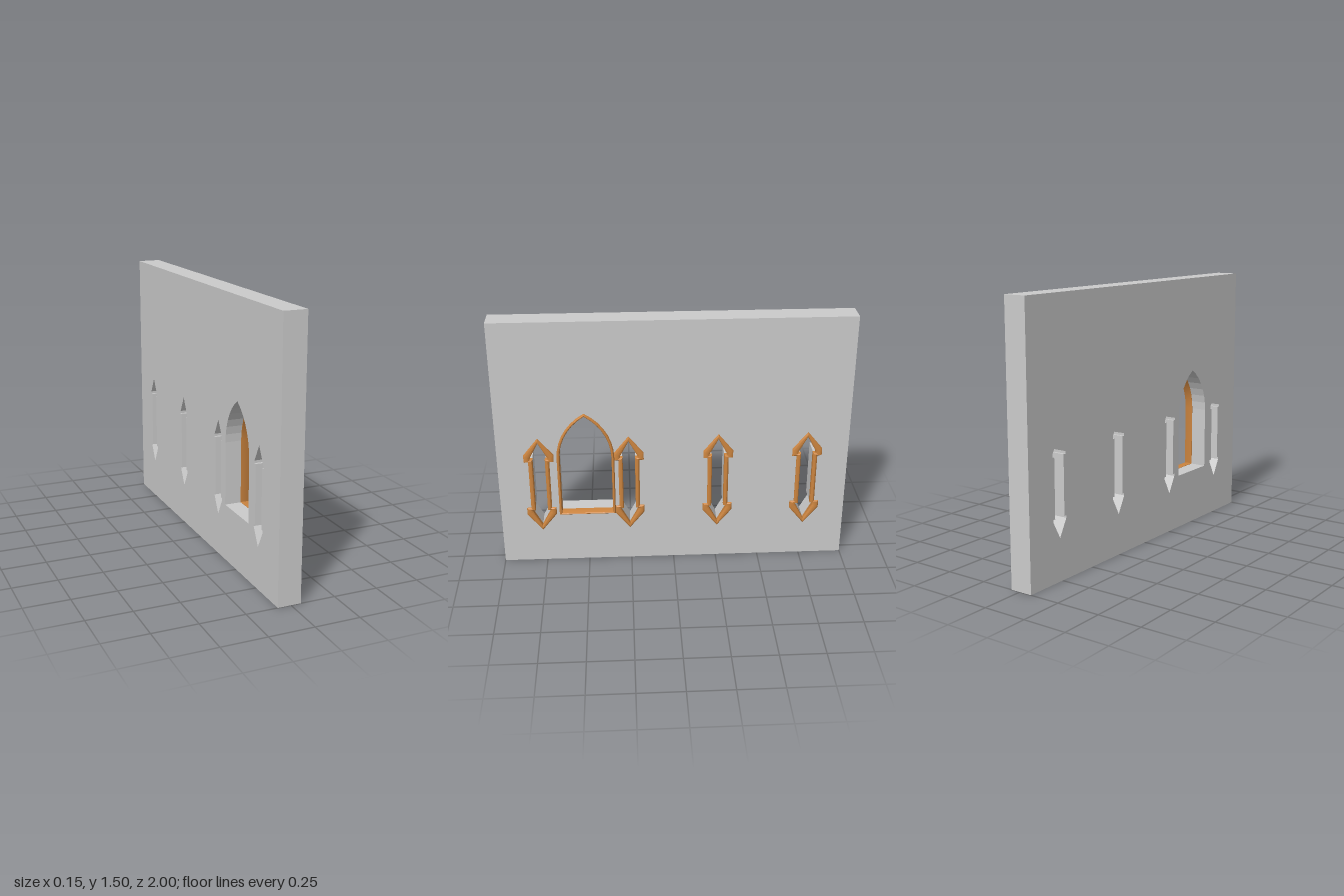
import * as THREE from 'three';
import { toCreasedNormals } from 'three/addons/utils/BufferGeometryUtils.js';

const BACK = -0.075, FRONT = 0.055;

// Mirrors a right-hand half outline (bottom to top) into a closed counter-clockwise loop.
function mirrorLoop(half) {
  const left = half.filter(([u]) => u > 0).reverse().map(([u, y]) => [-u, y]);
  return [...half, ...left];
}

// Double-headed arrow outline, centred on the slit.
function arrowOutline(tip, headW, corner, shoulder, shaftW) {
  const upper = [[shaftW, shoulder], [headW, shoulder], [headW, corner], [0, tip]];
  const lower = upper.map(([u, y]) => [u, -y]).reverse();
  return mirrorLoop([...lower, ...upper]);
}

// Pointed arch outline with a flat sill.
function archOutline(halfW, sill, spring, apex) {
  const h = apex - spring;
  const r = (h * h + halfW * halfW) / (2 * halfW);
  const end = Math.asin(h / r);
  const half = [[halfW, sill]];
  const steps = 7;
  for (let i = 0; i <= steps; i++) {
    const a = (end * i) / steps;
    half.push([i === steps ? 0 : halfW - r + r * Math.cos(a), spring + r * Math.sin(a)]);
  }
  return mirrorLoop(half);
}

// Sweeps a profile of [blend from inner to outer, depth] round two matching outlines.
function frameGeometry(inner, outer, profile) {
  const rings = profile.map(([t, depth]) => inner.map(([u, y], i) =>
    [u + (outer[i][0] - u) * t, y + (outer[i][1] - y) * t, depth]));
  const pos = [];
  rings.forEach((ring, j) => {
    const next = rings[(j + 1) % rings.length];
    ring.forEach((a, i) => {
      const k = (i + 1) % ring.length;
      pos.push(...a, ...next[i], ...next[k], ...a, ...next[k], ...ring[k]);
    });
  });
  const geo = new THREE.BufferGeometry();
  geo.setAttribute('position', new THREE.Float32BufferAttribute(pos, 3));
  return toCreasedNormals(geo, 0.5);
}

// Rounded moulding that also lines the front part of the opening.
const moulding = (lining, face) => [
  [0, lining], [0, face - 0.007], [0.15, face - 0.002], [0.35, face],
  [0.65, face], [0.85, face - 0.003], [1, face - 0.009], [1, lining],
];

const toPath = (loop, du = 0, dy = 0) =>
  new THREE.Path(loop.map(([u, y]) => new THREE.Vector2(u + du, y + dy)));

export function createModel() {
  const model = new THREE.Group();
  const stone = new THREE.MeshStandardMaterial({ color: 0xcccccc, flatShading: true });
  const wood = new THREE.MeshStandardMaterial({ color: 0xcd853f });

  const slitY = 0.51;
  const slitZ = [0.765, 0.255, -0.255, -0.765];
  const doorZ = 0.5;

  // Wall slab with one arched opening and four arrow slits
  const slab = new THREE.Shape([[-1, 0], [1, 0], [1, 1.5], [-1, 1.5]].map((p) => new THREE.Vector2(...p)));
  slab.holes.push(toPath(archOutline(0.149, 0.323, 0.68, 0.947), -doorZ));
  for (const z of slitZ) slab.holes.push(toPath(arrowOutline(0.273, 0.052, 0.178, 0.164, 0.037), -z, slitY));
  const wallGeo = new THREE.ExtrudeGeometry(slab, { depth: FRONT - BACK, bevelEnabled: false });
  wallGeo.translate(0, 0, BACK);
  wallGeo.rotateY(Math.PI / 2);
  const wall = new THREE.Mesh(wallGeo, stone);
  wall.name = 'wall';
  model.add(wall);

  // Arched window frame
  const archGeo = frameGeometry(
    archOutline(0.147, 0.325, 0.68, 0.943),
    archOutline(0.163, 0.313, 0.68, 0.958),
    moulding(0.018, 0.07));
  archGeo.rotateY(Math.PI / 2);
  const arch = new THREE.Mesh(archGeo, wood);
  arch.name = 'archFrame';
  arch.position.z = doorZ;
  model.add(arch);

  // Arrow slit frames
  const slitGeo = frameGeometry(
    arrowOutline(0.27, 0.05, 0.176, 0.166, 0.035),
    arrowOutline(0.3, 0.085, 0.195, 0.15, 0.06),
    moulding(0.035, 0.066));
  slitGeo.rotateY(Math.PI / 2);
  slitZ.forEach((z, i) => {
    const frame = new THREE.Mesh(slitGeo, wood);
    frame.name = `slitFrame${i + 1}`;
    frame.position.set(0, slitY, z);
    model.add(frame);
  });

  return model;
}
